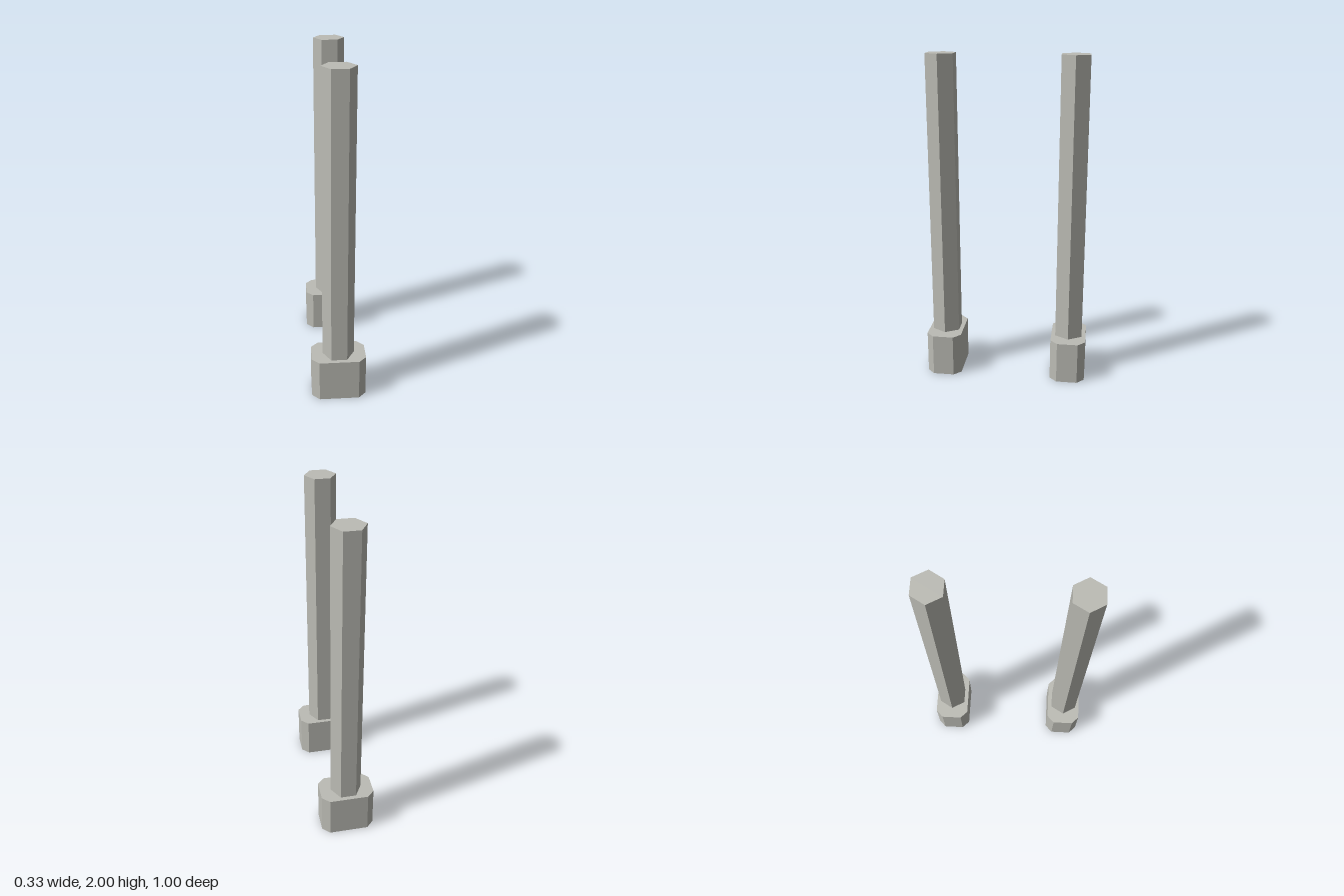
import * as THREE from 'three';

const BASE_HEIGHT = 0.262;
const POST_Z = 0.392;

// Rectangular block with chamfered vertical corners, standing on y = 0
function chamferedBlock(halfX, halfZ, chamfer, height) {
  const x = halfX - chamfer, z = halfZ - chamfer;
  const outline = new THREE.Shape([
    [halfX, -z], [halfX, z], [x, halfZ], [-x, halfZ],
    [-halfX, z], [-halfX, -z], [-x, -halfZ], [x, -halfZ],
  ].map(([a, b]) => new THREE.Vector2(a, b)));
  return new THREE.ExtrudeGeometry(outline, { depth: height, bevelEnabled: false })
    .rotateX(-Math.PI / 2);
}

export function createModel() {
  const model = new THREE.Group();
  model.name = 'postPair';

  const stone = new THREE.MeshStandardMaterial({ color: 0xbcbcb5, flatShading: true });
  stone.name = 'paleGrey';

  const baseGeometry = chamferedBlock(0.163, 0.108, 0.044, BASE_HEIGHT);

  // Hexagonal shaft with corners pointing along x
  const shaftHeight = 2 - BASE_HEIGHT;
  const shaftGeometry = new THREE.CylinderGeometry(0.095, 0.095, shaftHeight, 6, 1, false, Math.PI / 6)
    .translate(0, BASE_HEIGHT + shaftHeight / 2, 0);

  // Matching front and back posts
  for (const [name, side] of [['frontPost', 1], ['backPost', -1]]) {
    const post = new THREE.Group();
    post.name = name;
    post.position.z = side * POST_Z;

    const base = new THREE.Mesh(baseGeometry, stone);
    base.name = 'base';
    const shaft = new THREE.Mesh(shaftGeometry, stone);
    shaft.name = 'shaft';

    post.add(base, shaft);
    model.add(post);
  }
  return model;
}
